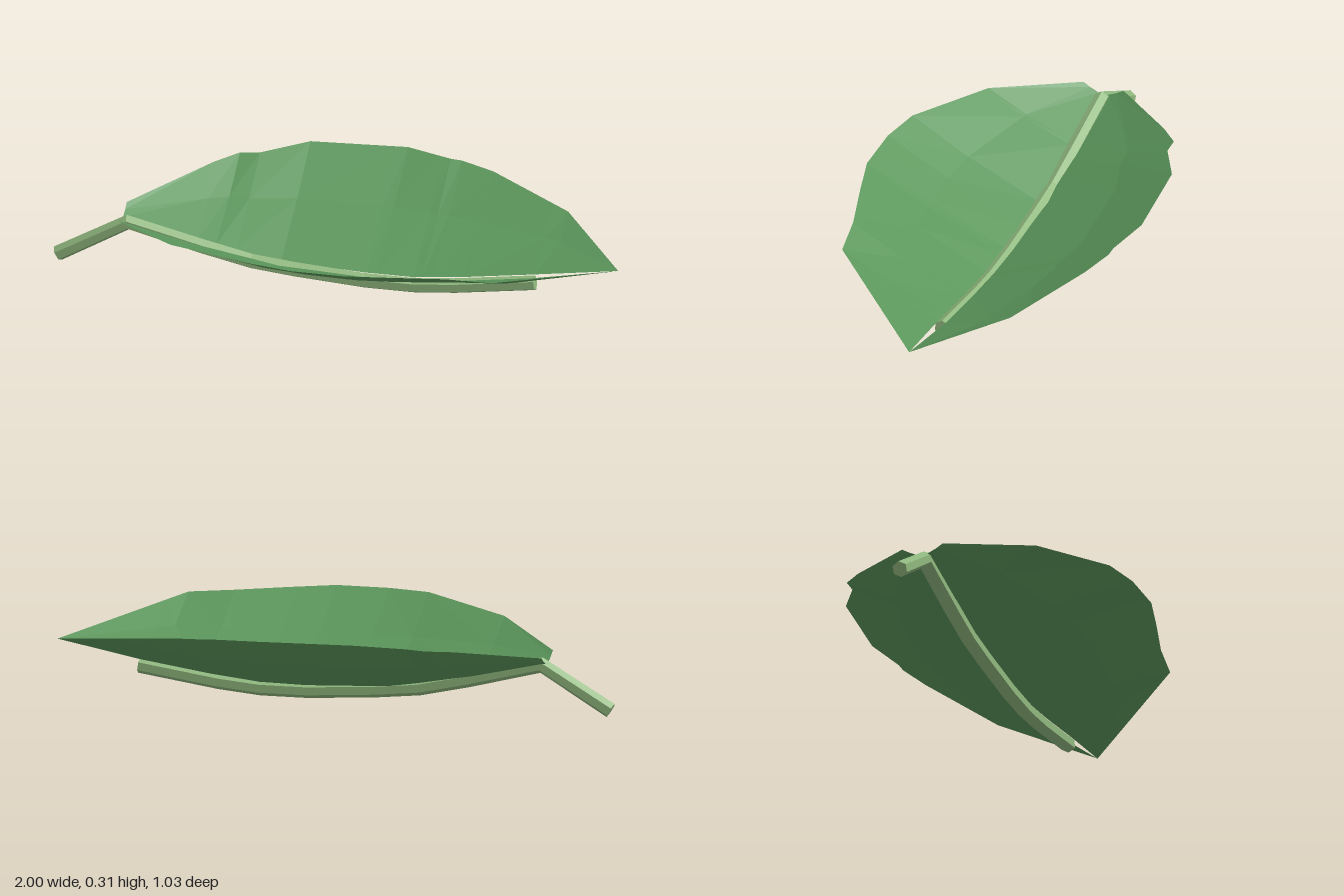
import * as THREE from 'three';

const bladeGreen = new THREE.MeshStandardMaterial({ color: 0x5c975c, flatShading: true, side: THREE.DoubleSide });
bladeGreen.name = 'leaf green';
const stemGreen = new THREE.MeshStandardMaterial({ color: 0x90b87e, flatShading: true });
stemGreen.name = 'stem green';

// Inner edge of each blade, along the fold: [x, y, half gap]
const fold = [
  [-0.76, 0.18, 0.018], [-0.5, 0.12, 0.015], [-0.2, 0.07, 0.018], [0.1, 0.058, 0.018],
  [0.27, 0.06, 0.015], [0.45, 0.08, 0.015], [0.7, 0.117, 0.015], [1, 0.17, 0],
];
// Outer edges: [x, distance from fold plane, y]
const leftEdge = [
  [-0.76, 0.075, 0.21], [-0.515, 0.33, 0.268], [-0.2, 0.485, 0.305], [-0.05, 0.514, 0.306],
  [0.14, 0.514, 0.306], [0.3, 0.474, 0.298], [0.48, 0.425, 0.288], [0.64, 0.4, 0.278],
  [0.82, 0.2, 0.224], [1, 0, 0.17],
];
const rightEdge = [
  [-0.76, 0.075, 0.21], [-0.51, 0.33, 0.268], [-0.43, 0.4, 0.28], [-0.36, 0.405, 0.285],
  [-0.2, 0.488, 0.305], [0.14, 0.515, 0.306], [0.3, 0.476, 0.297], [0.34, 0.475, 0.295],
  [0.46, 0.436, 0.285], [0.76, 0.28, 0.238], [0.88, 0.14, 0.204], [1, 0, 0.17],
];

// Position on the fold at a given x
function foldAt(x) {
  let i = 0;
  while (i < fold.length - 2 && x > fold[i + 1][0]) i++;
  const [a, b] = [fold[i], fold[i + 1]];
  const t = (x - a[0]) / (b[0] - a[0]);
  return [x, a[1] + (b[1] - a[1]) * t, a[2] + (b[2] - a[2]) * t];
}

function makeGeometry(positions, index) {
  const g = new THREE.BufferGeometry();
  g.setAttribute('position', new THREE.Float32BufferAttribute(positions, 3));
  g.setIndex(index);
  const flat = g.toNonIndexed();
  flat.computeVertexNormals();
  return flat;
}

// Thin blade: strips from the fold through a slightly sunken middle to the rim
function blade(edge, side) {
  const xs = [...new Set([...edge, ...fold].map((p) => p[0]))].sort((a, b) => a - b);
  const rimAt = (x) => {
    let i = 0;
    while (i < edge.length - 2 && x > edge[i + 1][0]) i++;
    const [a, b] = [edge[i], edge[i + 1]];
    const t = (x - a[0]) / (b[0] - a[0]);
    return [a[1] + (b[1] - a[1]) * t, a[2] + (b[2] - a[2]) * t];
  };
  const pos = [], idx = [];
  xs.forEach((x, i) => {
    const [, y0, z0] = foldAt(x);
    const [z1, y1] = rimAt(x);
    for (const [f, sag] of [[0, 0], [0.55, 0.024], [1, 0]]) {
      pos.push(x, y0 + (y1 - y0) * f - sag * z1, side * (z0 + (z1 - z0) * f));
    }
    if (i === 0) return;
    for (let k = 0; k < 2; k++) {
      const a = (i - 1) * 3 + k, b = a + 1, c = a + 4, d = a + 3;
      if (side > 0) idx.push(a, b, c, a, c, d);
      else idx.push(a, c, b, a, d, c);
    }
  });
  return makeGeometry(pos, idx);
}

// Six-sided stem swept along a bent path
function stem(radius) {
  const path = [
    [-0.988, 0.024], [-0.74, 0.171], [-0.47, 0.105], [-0.3, 0.068], [-0.15, 0.053],
    [0.1, 0.037], [0.27, 0.037], [0.42, 0.051], [0.705, 0.093],
  ].map(([x, y]) => new THREE.Vector2(x, y));
  const pos = [], idx = [], last = path.length - 1;
  path.forEach((p, i) => {
    const tIn = path[Math.max(i, 1)].clone().sub(path[Math.max(i, 1) - 1]).normalize();
    const j = Math.min(i, last - 1);
    const tOut = path[j + 1].clone().sub(path[j]).normalize();
    const t = tIn.add(tOut).normalize();
    for (let s = 0; s < 6; s++) {
      const c = Math.cos(s * Math.PI / 3) * radius;
      pos.push(p.x - t.y * c, p.y + t.x * c, Math.sin(s * Math.PI / 3) * radius);
      if (i < last) {
        const a = i * 6 + s, b = i * 6 + (s + 1) % 6;
        idx.push(a, b, b + 6, a, b + 6, a + 6);
      }
    }
  });
  // End caps
  for (let s = 1; s < 5; s++) {
    idx.push(0, s + 1, s);
    idx.push(last * 6, last * 6 + s, last * 6 + s + 1);
  }
  return makeGeometry(pos, idx);
}

export function createModel() {
  const group = new THREE.Group();
  group.name = 'leaf';
  const add = (name, geometry, material) => {
    const mesh = new THREE.Mesh(geometry, material);
    mesh.name = name;
    group.add(mesh);
  };
  add('frontBlade', blade(leftEdge, 1), bladeGreen);
  add('backBlade', blade(rightEdge, -1), bladeGreen);
  add('stem', stem(0.028), stemGreen);
  return group;
}
